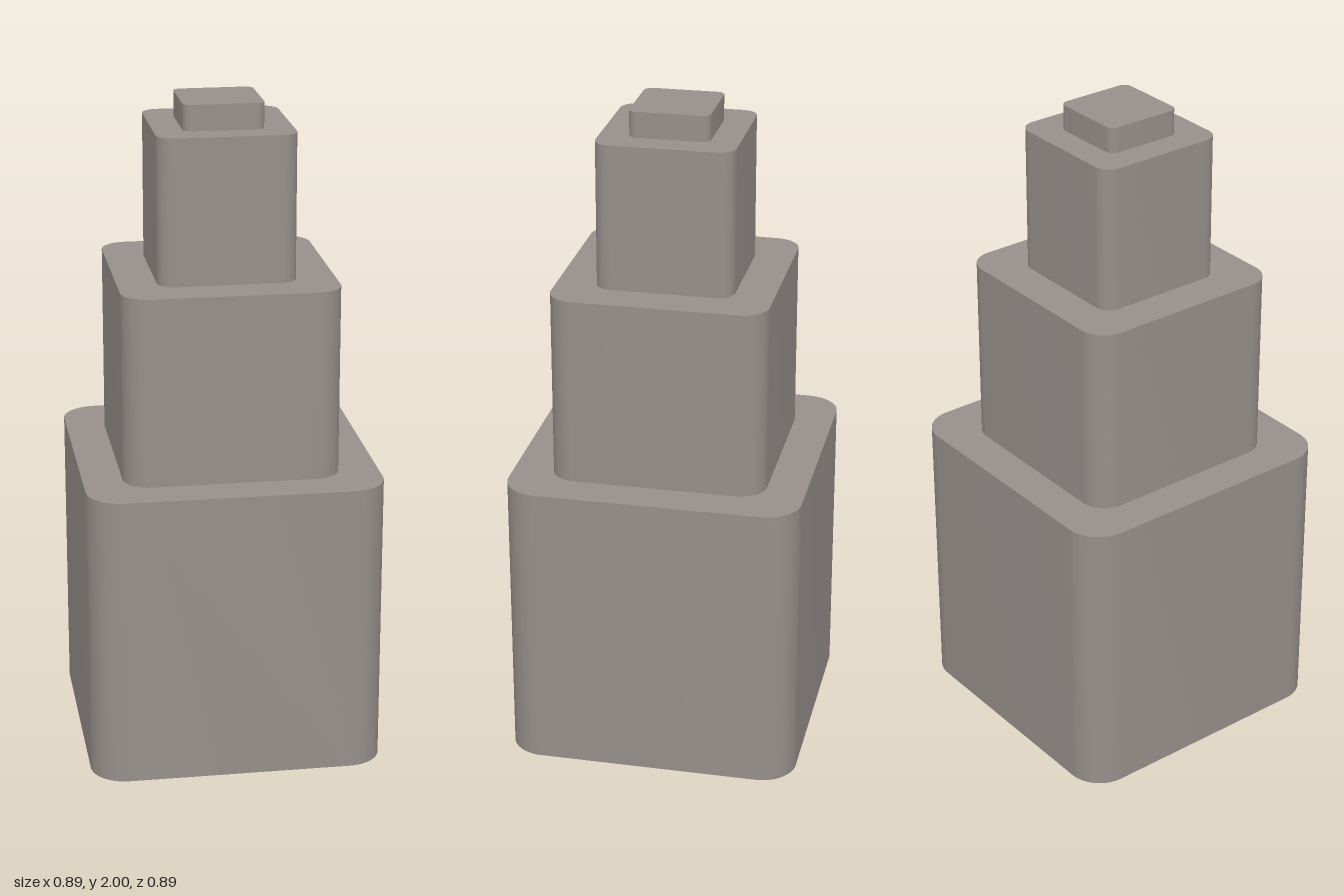
import * as THREE from 'three';
import { toCreasedNormals } from 'three/addons/utils/BufferGeometryUtils.js';

const stone = new THREE.MeshStandardMaterial({ color: 0x968f8b });
stone.name = 'warm grey stone';

// Square outline with rounded corners, half-width h and corner radius r
function roundedSquare(h, r) {
  const s = new THREE.Shape();
  s.moveTo(h, r - h);
  s.absarc(h - r, h - r, r, 0, Math.PI / 2);
  s.absarc(r - h, h - r, r, Math.PI / 2, Math.PI);
  s.absarc(r - h, r - h, r, Math.PI, Math.PI * 1.5);
  s.absarc(h - r, r - h, r, Math.PI * 1.5, Math.PI * 2);
  return s;
}

// Upright block with rounded vertical edges, from y0 to y1
function tier(name, h, r, y0, y1) {
  const geo = new THREE.ExtrudeGeometry(roundedSquare(h, r), {
    depth: y1 - y0, bevelEnabled: false, curveSegments: 12,
  });
  geo.rotateX(-Math.PI / 2);
  geo.translate(0, y0, 0);
  const mesh = new THREE.Mesh(toCreasedNormals(geo, 0.6), stone);
  mesh.name = name;
  return mesh;
}

export function createModel() {
  const group = new THREE.Group();
  group.name = 'steppedTower';
  group.add(
    tier('baseTier', 0.447, 0.108, 0, 0.9),
    tier('middleTier', 0.327, 0.08, 0.9, 1.478),
    tier('upperTier', 0.208, 0.05, 1.478, 1.922),
    tier('capBlock', 0.121, 0.025, 1.922, 2),
  );
  return group;
}
